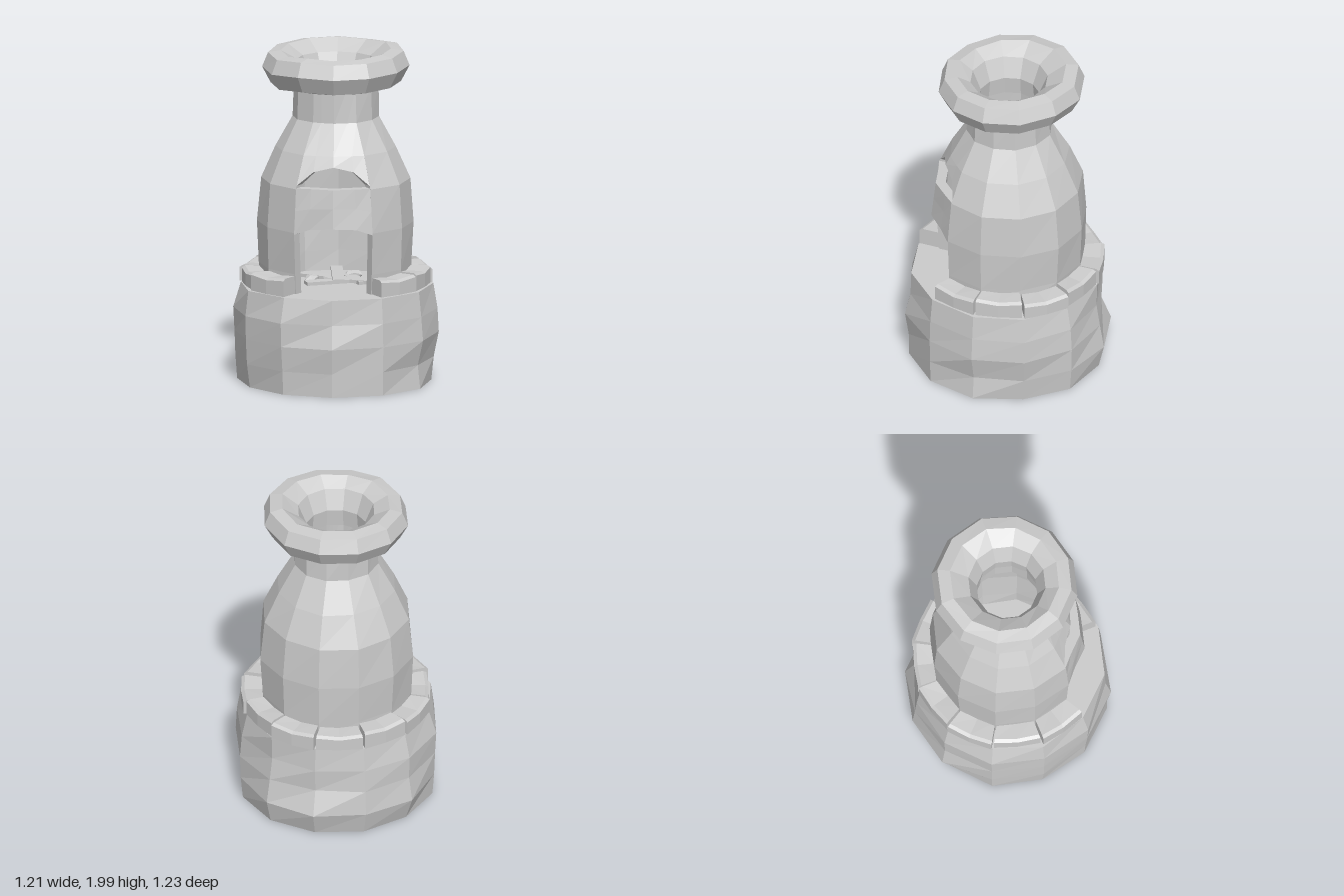
import * as THREE from 'three';

const material = new THREE.MeshStandardMaterial({ color: 0xcccccc, flatShading: true });
const RAD = Math.PI / 180;

// Piecewise-linear lookup in [[x, value], ...]
function lookup(table, x) {
  for (let i = 1; i < table.length; i++) {
    const [x0, v0] = table[i - 1], [x1, v1] = table[i];
    if (x <= x1) return v0 + (v1 - v0) * (x - x0) / (x1 - x0);
  }
  return table[table.length - 1][1];
}

// Small periodic unevenness for a hand-built look
const wobble = (deg, y, amount) => amount * Math.sin(deg * RAD * 5 + y * 17) * Math.cos(deg * RAD * 2 + y * 9);

// Radius factor that keeps in-between angles on the flats of a 12-sided ring
function flat(deg) {
  const d = (((deg % 30) + 30) % 30) - 15;
  return Math.cos(15 * RAD) / Math.cos(d * RAD);
}

// Sweeps a closed [radius, height] loop around y. Loops run up the outside, then down the inside.
function sweep(name, angles, section, capped = true) {
  const positions = [];
  const loops = angles.map(a => section(a).map(([r, y]) =>
    [r * Math.sin(a * RAD), y, r * Math.cos(a * RAD)]));
  const quad = (a, b, c, d) => positions.push(...a, ...b, ...c, ...a, ...c, ...d);
  const n = loops[0].length;
  for (let i = 0; i < loops.length - 1; i++) {
    for (let k = 0; k < n; k++) {
      const m = (k + 1) % n;
      quad(loops[i][k], loops[i + 1][k], loops[i + 1][m], loops[i][m]);
    }
  }
  if (capped) {
    const s = loops[0], e = loops[loops.length - 1];
    for (let j = 0; j < n / 2 - 1; j++) {
      quad(s[j], s[j + 1], s[n - 2 - j], s[n - 1 - j]);
      quad(e[n - 1 - j], e[n - 2 - j], e[j + 1], e[j]);
    }
  }
  const geometry = new THREE.BufferGeometry();
  geometry.setAttribute('position', new THREE.Float32BufferAttribute(positions, 3));
  geometry.computeVertexNormals();
  const mesh = new THREE.Mesh(geometry, material);
  mesh.name = name;
  return mesh;
}

const steps = (from, to, step) =>
  Array.from({ length: Math.round((to - from) / step) + 1 }, (_, i) => from + i * step);

// Base radii per height, at front, left, back and right
const baseRings = [
  [0, [0.595, 0.575, 0.56, 0.57]],
  [0.14, [0.595, 0.575, 0.61, 0.595]],
  [0.29, [0.61, 0.605, 0.56, 0.6]],
  [0.43, [0.595, 0.595, 0.55, 0.61]],
  [0.58, [0.585, 0.57, 0.545, 0.565]],
];
function baseSection(deg) {
  const q = (deg % 360) / 90, i = Math.floor(q);
  const outer = baseRings.map(([y, r]) =>
    [r[i % 4] + (r[(i + 1) % 4] - r[i % 4]) * (q - i) + wobble(deg, y, 0.012), y]);
  return [[0, 0], ...outer, [0, 0.58]];
}

// Bottle-shaped hollow oven wall
const bodyProfile = [[0.58, 0.445], [0.7, 0.45], [0.95, 0.462], [1.21, 0.44], [1.4, 0.355], [1.58, 0.255], [1.78, 0.25]];
const bodyHeights = bodyProfile.map(p => p[0]);
const WALL = 0.06;
function wallSection(deg, heights) {
  const outer = heights.map(y => [lookup(bodyProfile, y) * flat(deg) + wobble(deg, y, 0.006), y]);
  return [...outer, ...outer.map(([r, y]) => [r - WALL * flat(deg), y]).reverse()];
}

// Curved edges of the front openings, by angle from the front
const doorTop = [[0, 0.985], [18, 0.975], [30, 0.94]];
const slotTop = [[0, 1.34], [18, 1.31], [30, 1.23]];

export function createModel() {
  const group = new THREE.Group();
  const around = steps(0, 360, 30);
  const front = [-30, -18, 0, 18, 30];

  group.add(sweep('base', around, baseSection, false));

  // Oven wall: closed back and sides, then the front between and above the openings
  group.add(sweep('ovenWall', steps(30, 330, 30), a => wallSection(a, bodyHeights)));
  group.add(sweep('frontPanel', front, a => {
    const y = lookup(doorTop, Math.abs(a));
    return wallSection(a, [y, (y + 1.22) / 2, 1.215]);
  }));
  group.add(sweep('frontNeck', front, a =>
    wallSection(a, [lookup(slotTop, Math.abs(a)), 1.4, 1.58, 1.78])));

  // Flared chimney rim with a funnel-shaped mouth
  group.add(sweep('chimneyRim', around, a => {
    const lift = 0.012 * Math.cos((a - 150) * RAD) + wobble(a, 1.9, 0.008);
    const back = -0.015 * Math.cos(a * RAD);
    return [[0.19, 1.69], [0.245, 1.75], [0.385 + back, 1.785 + lift], [0.435 + back, 1.88 + lift],
      [0.4 + back, 1.965 + lift], [0.325 + back, 1.978 + lift], [0.23, 1.92], [0.18, 1.8]];
  }, false));

  // Ring of ten stones, open at the doorway
  const stones = new THREE.Group();
  stones.name = 'stoneRing';
  for (let i = 0; i < 10; i++) {
    const start = 30 + i * 30;
    const top = 0.682 + 0.008 * Math.sin(i * 2.3);
    const r = 0.562 + 0.008 * Math.sin(i * 3.7);
    stones.add(sweep('stone', [start + 0.7, start + 15, start + 29.3], a => {
      const y = top - (a === start + 15 ? 0.012 : 0);
      const k = a === start + 15 ? 0.985 : 1;
      return [[r * k, 0.583], [r * k, y - 0.012], [(r - 0.02) * k, y],
        [0.43, y], [0.425, y - 0.012], [0.42, 0.583]];
    }));
  }
  group.add(stones);

  // Firewood: x, y, z, length, turn
  const wood = new THREE.Group();
  wood.name = 'firewood';
  const planks = [
    [0.01, 0.625, -0.01, 0.38, 0.07],
    [-0.08, 0.6, -0.07, 0.28, 1.1],
    [0.08, 0.6, 0.03, 0.3, 1.25],
    [-0.05, 0.6, 0.09, 0.26, 1.9],
    [0.11, 0.598, -0.02, 0.26, 0.5],
  ];
  for (const [x, y, z, length, turn] of planks) {
    const plank = new THREE.Mesh(new THREE.BoxGeometry(0.07, 0.02, length), material);
    plank.name = 'plank';
    plank.position.set(x, y, z);
    plank.rotation.set(0.03, turn, 0);
    wood.add(plank);
  }
  group.add(wood);

  // Loose coals beside the planks
  for (const [x, z, turn] of [[0.1, -0.12, 0.2], [-0.14, 0.02, 1.3]]) {
    const coal = new THREE.Mesh(new THREE.IcosahedronGeometry(0.055, 0), material);
    coal.name = 'coal';
    coal.position.set(x, 0.605, z);
    coal.rotation.y = turn;
    coal.scale.set(1.1, 0.5, 0.8);
    group.add(coal);
  }
  return group;
}
